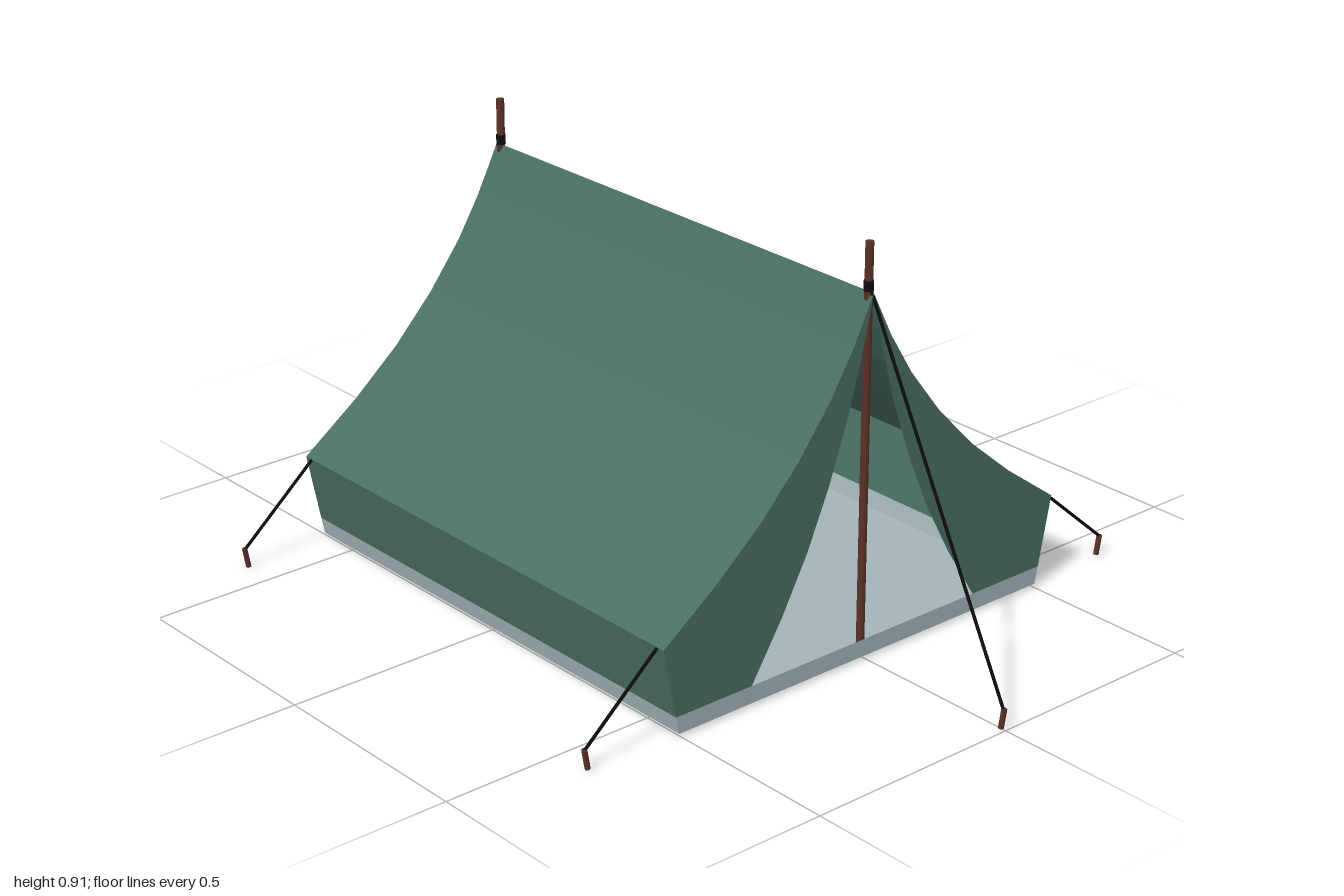
import * as THREE from 'three';

const material = (name, color, side = THREE.FrontSide) => {
  const m = new THREE.MeshStandardMaterial({ color, side });
  m.name = name;
  return m;
};

export function createModel() {
  const tent = new THREE.Group();
  tent.name = 'tent';
  const canvas = material('green canvas', 0x4a6f62, THREE.DoubleSide);
  const groundsheet = material('grey groundsheet', 0xa3b4b8, THREE.DoubleSide);
  const wood = material('brown wood', 0x5a3228);
  const cord = material('black cord', 0x0c0c10);

  const halfLength = 0.6;
  const tubTop = 0.045;
  const floorY = 0.006;
  const ridgeY = 0.805;
  const eave = [0.543, 0.203];

  // Sagging roof section from ridge to eave
  const roof = [[0, ridgeY], [0.05, 0.705], [0.112, 0.605], [0.194, 0.5], [0.292, 0.398], [0.405, 0.303], eave];
  const wallFoot = [0.511, tubTop];
  const floorEdge = [0.503, floorY];
  const mirror = (points) => points.map(([x, y]) => [-x, y]);

  const add = (name, geometry, mat) => {
    const mesh = new THREE.Mesh(geometry, mat);
    mesh.name = name;
    tent.add(mesh);
    return mesh;
  };

  // Flat-faced sheet following a section from front to back
  const sheet = (points) => {
    const p = [];
    for (let i = 0; i < points.length - 1; i++) {
      const [ax, ay] = points[i];
      const [bx, by] = points[i + 1];
      const h = halfLength;
      p.push(ax, ay, h, bx, by, h, bx, by, -h, ax, ay, h, bx, by, -h, ax, ay, -h);
    }
    const g = new THREE.BufferGeometry();
    g.setAttribute('position', new THREE.Float32BufferAttribute(p, 3));
    g.computeVertexNormals();
    return g;
  };

  // Flat end panel; the back ones are turned about so they face outwards
  const panel = (points, end) => {
    const g = new THREE.ShapeGeometry(new THREE.Shape(points.map(([x, y]) => new THREE.Vector2(x, y))));
    if (end < 0) g.rotateY(Math.PI);
    return g.translate(0, 0, end * halfLength);
  };

  // Round bar between two points
  const bar = (name, a, b, radius, mat, sides = 8) => {
    const from = new THREE.Vector3(...a);
    const to = new THREE.Vector3(...b);
    const dir = to.clone().sub(from);
    const mesh = add(name, new THREE.CylinderGeometry(radius, radius, dir.length(), sides), mat);
    mesh.position.copy(from).add(to).multiplyScalar(0.5);
    mesh.quaternion.setFromUnitVectors(new THREE.Vector3(0, 1, 0), dir.normalize());
  };

  // Roof slopes and low side walls
  const leftSide = [...roof, wallFoot];
  const rightSide = mirror(leftSide).reverse();
  add('leftCanvas', sheet(leftSide), canvas);
  add('rightCanvas', sheet(rightSide), canvas);

  // Closed back wall
  add('backWall', panel([...leftSide, ...rightSide.slice(0, -1)], -1), canvas);

  // Front flaps, leaving a curved doorway between them
  const drop = (ridgeY - tubTop) / (ridgeY - eave[1]);
  const doorEdge = roof.map(([x, y]) => [x * 0.575, ridgeY - (ridgeY - y) * drop]);
  const flap = [...leftSide, ...doorEdge.slice(1).reverse()];
  add('leftFlap', panel(flap, 1), canvas);
  add('rightFlap', panel(mirror(flap), 1), canvas);

  // Shallow groundsheet tub: sides, floor and ends
  const tub = [wallFoot, floorEdge, ...mirror([floorEdge, wallFoot])];
  add('groundsheetFloorAndSides', sheet(tub), groundsheet);
  for (const end of [1, -1]) {
    add(end > 0 ? 'frontGroundsheetEdge' : 'backGroundsheetEdge', panel(tub, end), groundsheet);
  }

  for (const end of [1, -1]) {
    // Upright pole, end guy rope and its peg
    const z = end * 0.585;
    bar('pole', [0, 0.004, z], [0, 0.91, z], 0.009, wood, 12);
    bar('ropeLoop', [0, 0.806, z], [0, 0.828, z], 0.0105, cord, 12);
    bar('endRope', [0, 0.822, z], [0, 0.04, end * 0.993], 0.0035, cord);
    bar('endPeg', [0, 0, end * 0.987], [0, 0.045, end * 0.994], 0.006, wood);

    // Guy ropes and pegs at the eaves
    for (const side of [1, -1]) {
      const rz = end * 0.58;
      bar('sideRope', [side * eave[0], eave[1] - 0.002, rz], [side * 0.727, 0.042, rz], 0.0035, cord);
      bar('sidePeg', [side * 0.719, 0, rz], [side * 0.727, 0.045, rz], 0.006, wood);
    }
  }
  return tent;
}
